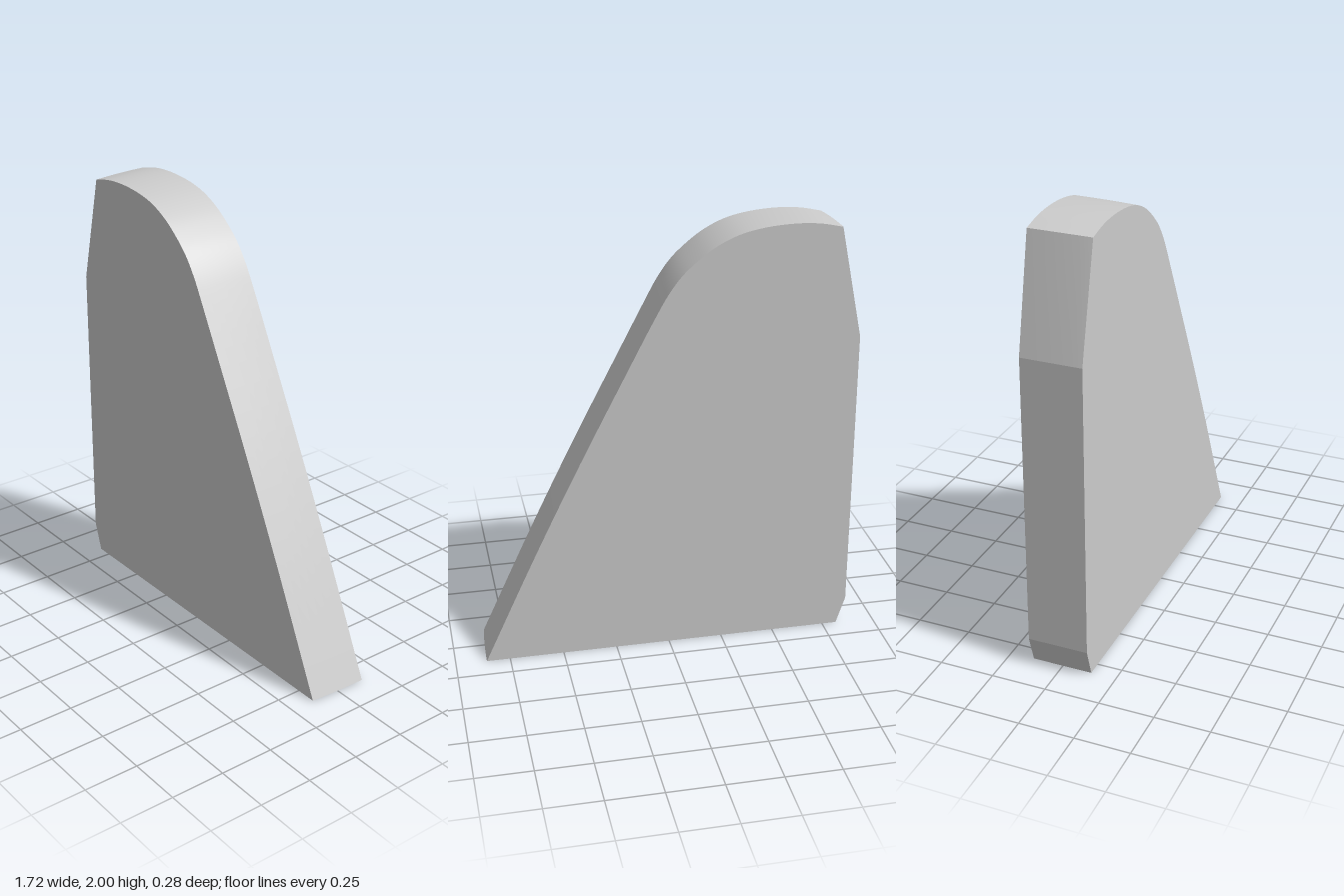
import * as THREE from 'three';
import { toCreasedNormals } from 'three/addons/utils/BufferGeometryUtils.js';

const BACK = -0.14, FRONT = 0.135, LAYERS = 6;

// Outer curve: up the long slope, over the crown, to the upper corner
const edge = new THREE.CatmullRomCurve3([
  [0.858, 0], [0.61, 0.535], [0.4, 0.965], [0.2, 1.355], [0.07, 1.605], [0.005, 1.72], [-0.055, 1.8],
  [-0.12, 1.86], [-0.2, 1.918], [-0.3, 1.965], [-0.41, 1.99], [-0.55, 2], [-0.66, 1.993], [-0.757, 1.973],
].map(([x, y]) => new THREE.Vector3(x, y, 0)), false, 'centripetal').getPoints(52);

// Counter-clockwise outline; the curved edge draws in slightly towards the front
function outline(t) {
  const k = t * t;
  const curved = edge.map((p) => new THREE.Vector2(
    p.x + k * THREE.MathUtils.mapLinear(p.x, -0.757, 0.1, 0.015, -0.013) * (p.x < 0.1 ? 1 : 0) - (p.x < 0.1 ? 0 : 0.013 * k),
    p.y - (p.y > 0 ? 0.007 * k * Math.min(1, p.y / 2) : 0),
  ));
  const straight = [[-0.86, 1.465], [-0.86, 0.13], [-0.818, 0]].map(([x, y]) => new THREE.Vector2(x, y));
  return [...curved, ...straight];
}

function slabGeometry() {
  const positions = [], index = [];
  const n = outline(0).length;
  for (let j = 0; j <= LAYERS; j++) {
    const t = j / LAYERS;
    for (const p of outline(t)) positions.push(p.x, p.y, THREE.MathUtils.lerp(BACK, FRONT, t));
  }
  // Rim walls between neighbouring layers
  for (let j = 0; j < LAYERS; j++) {
    for (let i = 0; i < n; i++) {
      const a = j * n + i, b = j * n + (i + 1) % n;
      index.push(a, b, b + n, a, b + n, a + n);
    }
  }
  // Flat back and front faces
  const top = LAYERS * n;
  for (const [a, b, c] of THREE.ShapeUtils.triangulateShape(outline(0), [])) index.push(a, c, b);
  for (const [a, b, c] of THREE.ShapeUtils.triangulateShape(outline(1), [])) index.push(top + a, top + b, top + c);

  const geometry = new THREE.BufferGeometry();
  geometry.setAttribute('position', new THREE.Float32BufferAttribute(positions, 3));
  geometry.setIndex(index);
  return toCreasedNormals(geometry, 0.15);
}

export function createModel() {
  const group = new THREE.Group();
  group.name = 'finPlate';
  const slab = new THREE.Mesh(slabGeometry(), new THREE.MeshStandardMaterial({ color: 0xcccccc }));
  slab.name = 'slab';
  group.add(slab);
  return group;
}
